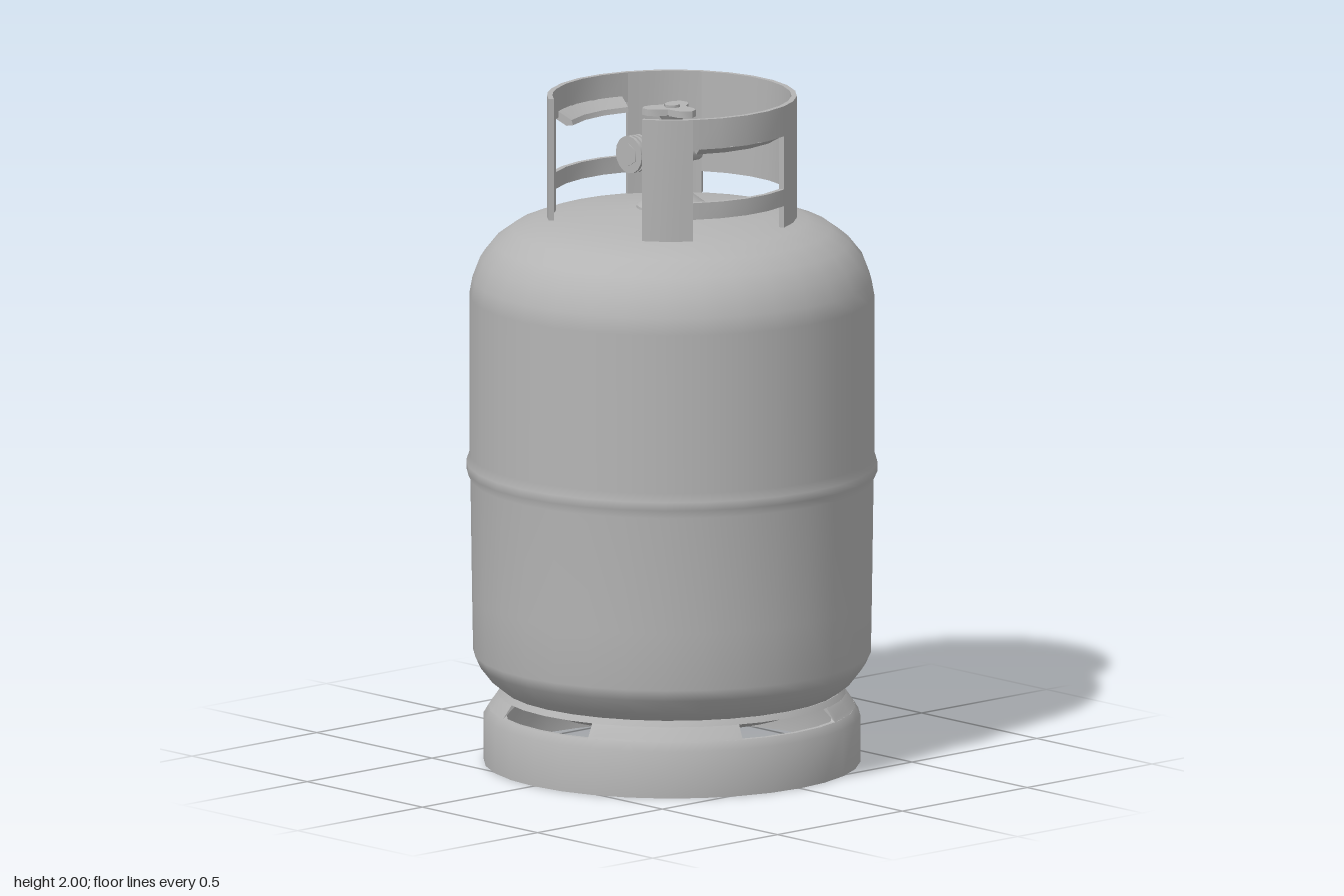
import * as THREE from 'three';
import { toCreasedNormals } from 'three/addons/utils/BufferGeometryUtils.js';

const steel = new THREE.MeshStandardMaterial({ color: 0xb4b4b4 });
steel.name = 'grey steel';

function add(parent, name, geometry, x = 0, y = 0, z = 0) {
  const mesh = new THREE.Mesh(geometry, steel);
  mesh.name = name;
  mesh.position.set(x, y, z);
  parent.add(mesh);
  return mesh;
}

function lathe(points, segments) {
  return new THREE.LatheGeometry(points.map(([r, y]) => new THREE.Vector2(r, y)), segments);
}

// Sweeps a closed [radius, height, extraAngle] section around y, between angles
// in degrees measured from the front (+z) towards +x. Sections run anticlockwise.
function sweep(section, from, to, steps) {
  const n = section.length, pos = [], index = [];
  const mid = (from + to) / 2, half = (to - from) / 2;
  for (let s = 0; s <= steps; s++) {
    for (const [r, y, extra = 0] of section) {
      const a = THREE.MathUtils.degToRad(mid + (half + extra) * (2 * s / steps - 1));
      pos.push(r * Math.sin(a), y, r * Math.cos(a));
    }
  }
  for (let s = 0; s < steps; s++) {
    for (let i = 0; i < n; i++) {
      const j = (i + 1) % n, a = s * n + i, d = s * n + j;
      index.push(a, a + n, d + n, a, d + n, d);
    }
  }
  if (to - from < 360) {
    const e = steps * n;
    for (let i = 1; i < n - 1; i++) index.push(0, i, i + 1, e, e + i + 1, e + i);
  }
  const g = new THREE.BufferGeometry();
  g.setAttribute('position', new THREE.Float32BufferAttribute(pos, 3));
  g.setIndex(index);
  g.computeVertexNormals();
  return toCreasedNormals(g, 0.6);
}

const band = (r0, r1, y0, y1) => [[r1, y0], [r1, y1], [r0, y1], [r0, y0]];

function buildFoot() {
  const foot = new THREE.Group();
  foot.name = 'footRing';
  add(foot, 'footBand', sweep([[0.555, 0], [0.555, 0.14], [0.54, 0.165],
    [0.525, 0.165], [0.54, 0.135], [0.54, 0]], 0, 360, 32));
  add(foot, 'footRim', sweep([[0.512, 0.205], [0.502, 0.222], [0.485, 0.222], [0.497, 0.205]], 0, 360, 32));
  // Four posts leave slots with chamfered corners between them
  const post = [[0.54, 0.165, 2], [0.534, 0.173], [0.518, 0.197], [0.512, 0.205, 2],
    [0.497, 0.205, 2], [0.503, 0.197], [0.519, 0.173], [0.525, 0.165, 2]];
  for (let i = 0; i < 4; i++) add(foot, 'footPost', sweep(post, i * 90 + 22, i * 90 + 68, 4));
  return foot;
}

function buildCollar() {
  const collar = new THREE.Group();
  collar.name = 'guardCollar';
  const r0 = 0.352, r1 = 0.368;
  add(collar, 'backPanel', sweep(band(r0, r1, 1.7, 2), 147, 213, 5));
  for (const side of [1, -1]) {
    const piece = (name, section, from, to, steps) =>
      add(collar, name, side > 0 ? sweep(section, from, to, steps) : sweep(section, -to, -from, steps));
    piece('frontLeg', band(r0, r1, 1.635, 2), 33.5, 57, 3);
    piece('rearLeg', band(r0, r1, 1.635, 2), 111, 147, 3);
    piece('handleBar', band(r0, r1, 1.91, 2), 57, 111, 4);
    piece('lowerBar', band(r0, r1, 1.7, 1.75), 57, 111, 4);
    // Hand grip folded inward above the window
    piece('handGrip', [[0.367, 1.911], [0.352, 1.93], [0.31, 1.905], [0.305, 1.89], [0.325, 1.887]], 60, 108, 3);
  }
  return collar;
}

function buildValve() {
  const valve = new THREE.Group();
  valve.name = 'valve';
  add(valve, 'valveBoss', toCreasedNormals(lathe([[0.108, 1.655], [0.105, 1.672], [0.06, 1.705], [0, 1.705]], 20), 0.5));
  add(valve, 'baseNut', toCreasedNormals(new THREE.CylinderGeometry(0.06, 0.06, 0.03, 12), 0.6), 0, 1.716, 0);
  add(valve, 'valveStem', new THREE.CylinderGeometry(0.04, 0.044, 0.08, 14), 0, 1.765, 0);
  add(valve, 'valveBody', new THREE.CylinderGeometry(0.036, 0.042, 0.11, 14), 0, 1.84, 0);

  // Horizontal parts run along z
  const along = (name, r, length, y, z, sides = 14) => {
    add(valve, name, new THREE.CylinderGeometry(r, r, length, sides), 0, y, z).rotation.x = Math.PI / 2;
  };
  along('outlet', 0.046, 0.16, 1.845, 0.085);
  for (const z of [0.135, 0.152, 0.169]) along('outletThread', 0.056, 0.009, 1.845, z, 16);
  along('outletNut', 0.034, 0.012, 1.845, 0.17, 6);
  along('reliefPort', 0.028, 0.1, 1.82, -0.05);
  const plug = add(valve, 'sidePlug', new THREE.CylinderGeometry(0.022, 0.022, 0.11, 8), 0, 1.805, 0.01);
  plug.rotation.z = Math.PI / 2;

  // Spindle and three-lobed handwheel
  add(valve, 'spindle', new THREE.CylinderGeometry(0.022, 0.032, 0.04, 12), 0, 1.91, 0);
  add(valve, 'wheelHub', new THREE.CylinderGeometry(0.045, 0.028, 0.025, 12), 0, 1.936, 0);
  const outline = [];
  for (let i = 0; i < 24; i++) {
    const a = i / 24 * Math.PI * 2, r = 0.066 + 0.024 * Math.cos(3 * a);
    outline.push(new THREE.Vector2(r * Math.cos(a), r * Math.sin(a)));
  }
  const wheel = new THREE.ExtrudeGeometry(new THREE.Shape(outline), { depth: 0.02, bevelEnabled: false });
  wheel.rotateX(-Math.PI / 2);
  add(valve, 'handwheel', toCreasedNormals(wheel, 0.7), 0, 1.945, 0);
  add(valve, 'wheelNut', new THREE.CylinderGeometry(0.024, 0.024, 0.01, 6), 0, 1.968, 0);
  return valve;
}

export function createModel() {
  const model = new THREE.Group();
  model.name = 'gasCylinder';

  // Pressure vessel with a welded seam at mid height
  add(model, 'tank', lathe([
    [0, 0.12], [0.2, 0.13], [0.38, 0.165], [0.49, 0.215], [0.535, 0.25], [0.57, 0.295], [0.586, 0.33],
    [0.589, 0.5], [0.594, 0.85], [0.606, 0.875], [0.606, 0.9], [0.597, 0.925], [0.597, 1.4],
    [0.588, 1.45], [0.565, 1.51], [0.525, 1.56], [0.47, 1.6], [0.4, 1.626], [0.3, 1.645],
    [0.12, 1.665], [0, 1.668],
  ], 32));

  model.add(buildFoot(), buildCollar(), buildValve());
  return model;
}
